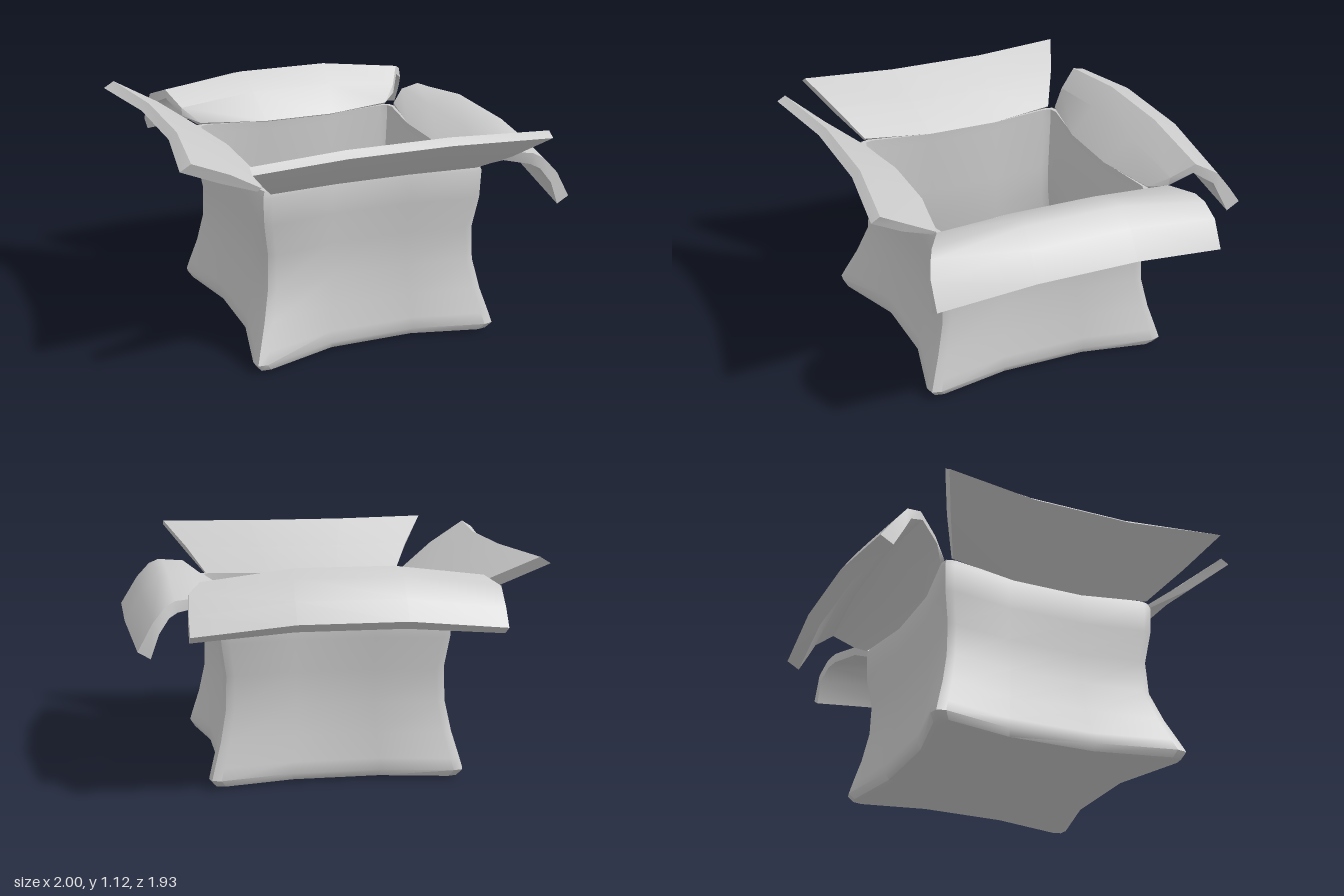
import * as THREE from 'three';
import { toCreasedNormals } from 'three/addons/utils/BufferGeometryUtils.js';

const material = new THREE.MeshStandardMaterial({ color: 0xcccccc, side: THREE.DoubleSide });

function makeMesh(name, positions, index, crease) {
  const geo = new THREE.BufferGeometry();
  geo.setAttribute('position', new THREE.Float32BufferAttribute(positions, 3));
  geo.setIndex(index);
  const mesh = new THREE.Mesh(toCreasedNormals(geo, crease), material);
  mesh.name = name;
  return mesh;
}

// Open box: square rings with pinched sides and rounded corners,
// running up the outside, over the rim and down to the inner floor.
function makeBody() {
  // [half size, height, inward pinch of each side]
  const rows = [
    [0, 0, 0], [0.57, 0.005, 0.07], [0.61, 0.01, 0.075], [0.635, 0.045, 0.08], [0.62, 0.1, 0.075],
    [0.585, 0.22, 0.06], [0.555, 0.37, 0.05], [0.55, 0.54, 0.05], [0.575, 0.7, 0.055],
    [0.58, 0.84, 0.06], [0.57, 0.87, 0.06], [0.55, 0.87, 0.05], [0.55, 0.82, 0.05],
    [0.53, 0.54, 0.045], [0.535, 0.37, 0.045], [0.56, 0.22, 0.055], [0.59, 0.08, 0.07],
    [0.57, 0.03, 0.07], [0, 0.03, 0]
  ];
  // one side of a ring: [position along side, share of the pinch]
  const side = [[-0.9, 0.1], [-0.35, 1], [0.35, 1], [0.9, 0.1], [0.97, 0]];
  const n = side.length * 4;
  const pos = [], idx = [];
  for (const [h, y, pinch] of rows) {
    for (let s = 0; s < 4; s++) {
      const c = Math.round(Math.cos(s * Math.PI / 2)), d = Math.round(Math.sin(s * Math.PI / 2));
      side.forEach(([t, w], k) => {
        const u = t * h, v = k === 4 ? 0.97 * h : h - pinch * w;
        let x = u * c + v * d, z = v * c - u * d;
        // the lower front corners are pulled outward, one more than the other
        if (h > 0 && z > 0) {
          const pull = Math.max(0, 1 - y / 0.4) * (x * z / (h * h)) ** 2;
          x -= x < 0 ? 0.03 * pull : 0;
          z += (x < 0 ? 0.08 : 0.02) * pull;
        }
        pos.push(x, y, z + 0.025);
      });
    }
  }
  for (let r = 0; r < rows.length - 1; r++) {
    for (let k = 0; k < n; k++) {
      const a = r * n + k, b = r * n + (k + 1) % n;
      idx.push(a, b, b + n, a, b + n, a + n);
    }
  }
  return makeMesh('boxBody', pos, idx, 0.9);
}

// Flap: a closed thick profile swept across its width, reaching toward +z.
// Profile points: [middle reach, middle y, end reach, end y, half width],
// out along the top and back along the underside.
function makeFlap(name, profile, turn, shiftZ) {
  const columns = [-1, -0.35, 0.35, 1];
  const n = profile.length;
  const pos = [], idx = [];
  for (const u of columns) {
    for (const [mo, my, eo, ey, w] of profile) {
      const end = Math.abs(u) === 1;
      pos.push(u * w, end ? ey : my, end ? eo : mo);
    }
  }
  for (let i = 0; i < columns.length - 1; i++) {
    for (let j = 0; j < n; j++) {
      const a = i * n + j, b = i * n + (j + 1) % n;
      idx.push(a, b, b + n, a, b + n, a + n);
    }
  }
  // end caps
  const last = (columns.length - 1) * n;
  for (let j = 0; j < n / 2 - 1; j++) {
    const a = j, b = j + 1, c = n - 2 - j, d = n - 1 - j;
    idx.push(last + a, last + b, last + c, last + a, last + c, last + d);
    idx.push(a, c, b, a, d, c);
  }
  const mesh = makeMesh(name, pos, idx, 0.75);
  mesh.rotation.y = turn;
  mesh.position.z = shiftZ;
  return mesh;
}

export function createModel() {
  const group = new THREE.Group();
  group.name = 'openBox';
  group.add(makeBody());

  // raised flaps
  group.add(makeFlap('frontFlap', [
    [0.52, 0.87, 0.58, 0.87, 0.53], [0.69, 0.99, 0.75, 0.99, 0.62], [0.85, 1.12, 0.92, 1.12, 0.735],
    [0.89, 1.09, 0.963, 1.095, 0.735], [0.72, 0.95, 0.78, 0.96, 0.62], [0.55, 0.85, 0.6, 0.86, 0.53]
  ], 0, 0));
  group.add(makeFlap('rightFlap', [
    [0.5, 0.87, 0.56, 0.88, 0.53], [0.68, 0.99, 0.74, 1.0, 0.63], [0.88, 1.107, 0.947, 1.107, 0.725],
    [0.92, 1.075, 1.0, 1.075, 0.725], [0.71, 0.95, 0.79, 0.965, 0.63], [0.53, 0.85, 0.58, 0.865, 0.53]
  ], -Math.PI / 2, 0.025));

  // drooping flaps
  group.add(makeFlap('leftFlap', [
    [0.5, 0.87, 0.57, 0.88, 0.53], [0.64, 0.95, 0.65, 0.935, 0.6], [0.78, 0.99, 0.78, 0.935, 0.675],
    [0.83, 0.98, 0.83, 0.91, 0.7], [0.92, 0.9, 0.89, 0.84, 0.725], [1.0, 0.77, 0.96, 0.71, 0.725],
    [0.94, 0.74, 0.9, 0.675, 0.725], [0.87, 0.85, 0.86, 0.79, 0.725], [0.81, 0.92, 0.81, 0.86, 0.7],
    [0.77, 0.94, 0.77, 0.88, 0.675], [0.66, 0.91, 0.66, 0.89, 0.6], [0.53, 0.84, 0.57, 0.85, 0.53]
  ], Math.PI / 2, 0.025));
  group.add(makeFlap('backFlap', [
    [0.47, 0.87, 0.53, 0.88, 0.53], [0.6, 1.0, 0.61, 0.95, 0.61], [0.72, 1.085, 0.71, 1.03, 0.67],
    [0.83, 1.05, 0.8, 0.99, 0.73], [0.9, 0.96, 0.87, 0.9, 0.735], [0.965, 0.865, 0.93, 0.815, 0.735],
    [0.9, 0.82, 0.865, 0.777, 0.735], [0.85, 0.92, 0.81, 0.88, 0.735], [0.8, 0.99, 0.78, 0.94, 0.73],
    [0.72, 1.03, 0.7, 0.985, 0.67], [0.62, 0.96, 0.6, 0.91, 0.61], [0.5, 0.84, 0.55, 0.86, 0.53]
  ], Math.PI, 0));
  return group;
}
